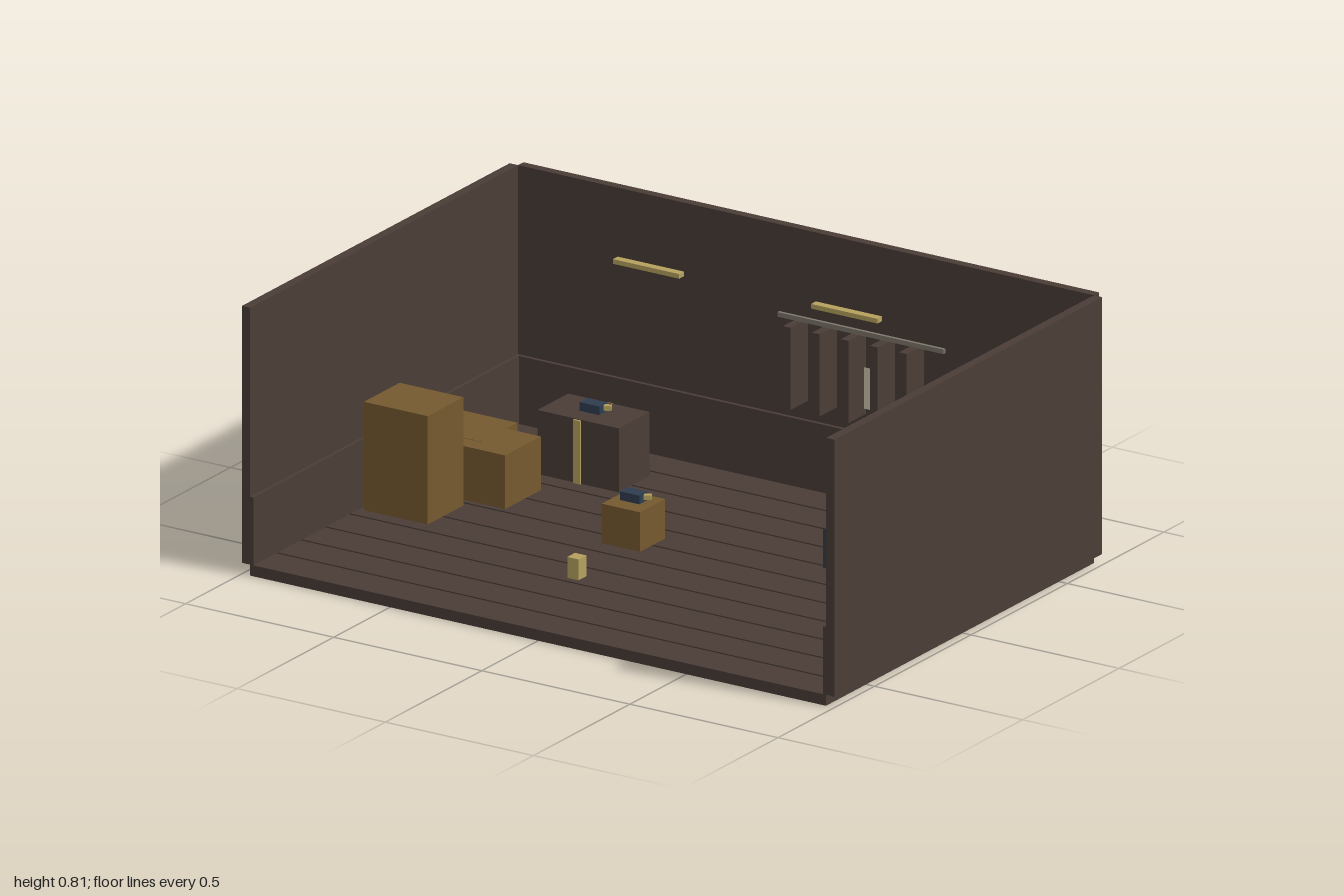
import * as THREE from 'three';

const mat = (name, color, side = THREE.FrontSide) => {
  const m = new THREE.MeshStandardMaterial({ color, side });
  m.name = name;
  return m;
};

export function createModel() {
  const room = new THREE.Group();
  room.name = 'room';
  const brown = mat('dark brown', 0x4a3d36);
  const wood = mat('crate wood', 0x75592f);
  const yellow = mat('dull yellow', 0xb5a15e);
  const navy = mat('navy', 0x2e3d50);
  const cream = mat('cream paper', 0xcdc5ac, THREE.DoubleSide);
  const grey = mat('warm grey', 0x7c766a);

  // Box from its limits on each axis
  const box = (name, m, x0, x1, y0, y1, z0, z1, parent = room) => {
    const mesh = new THREE.Mesh(new THREE.BoxGeometry(x1 - x0, y1 - y0, z1 - z0), m);
    mesh.position.set((x0 + x1) / 2, (y0 + y1) / 2, (z0 + z1) / 2);
    mesh.name = name;
    parent.add(mesh);
    return mesh;
  };
  const F = 0.033; // floor height

  // Floor slab with planks running across the room
  box('floorSlab', brown, -0.972, 0.972, 0, 0.026, -0.68, 0.708);
  const planks = 11, pitch = 1.388 / planks;
  for (let i = 0; i < planks; i++) {
    const z = -0.68 + i * pitch;
    box('floorPlank', brown, -0.972, 0.972, 0.026, F, z + (i ? 0.008 : 0), z + pitch);
  }

  // Walls and low wall panels
  box('backWall', brown, -0.972, 0.972, F, 0.808, -0.708, -0.68);
  box('backPanel', brown, -0.965, 0.965, F, 0.238, -0.68, -0.668);
  for (const s of [-1, 1]) {
    const wall = box('sideWall', brown, 0.972, 1, F, 0.808, -0.68, 0.708);
    const panel = box('sidePanel', brown, 0.961, 0.972, F, 0.238, -0.68, 0.708);
    wall.position.x *= s;
    panel.position.x *= s;
  }

  // Crates along the left-hand wall
  box('backCrate', wood, -0.945, -0.73, F, 0.196, -0.305, -0.12);
  box('middleCrate', wood, -0.83, -0.615, F, 0.195, -0.25, -0.065);
  box('tallCrate', wood, -0.945, -0.73, F, 0.36, -0.025, 0.16);

  // Small device with a tilted knob
  const device = (x, y, z) => {
    const g = new THREE.Group();
    g.name = 'device';
    box('deviceBody', navy, -0.033, 0.033, 0, 0.026, -0.021, 0.021, g);
    const knob = new THREE.Mesh(new THREE.BoxGeometry(0.022, 0.014, 0.016), yellow);
    knob.position.set(0.044, 0.017, -0.006);
    knob.rotation.y = 0.5;
    knob.name = 'deviceKnob';
    g.add(knob);
    g.position.set(x, y, z);
    room.add(g);
  };

  // Chest with a strap on its front and back
  box('chest', brown, -0.695, -0.42, F, 0.226, -0.515, -0.355);
  box('chestStrap', yellow, -0.57, -0.547, F, 0.224, -0.355, -0.348);
  box('chestStrap', yellow, -0.57, -0.547, F, 0.224, -0.522, -0.515);
  device(-0.558, 0.226, -0.436);

  // Low crate with a device
  box('lowCrate', wood, -0.235, -0.105, F, 0.152, -0.112, 0.018);
  device(-0.168, 0.157, -0.045);

  // Lantern on the floor
  box('lantern', yellow, -0.162, -0.124, F, 0.096, 0.268, 0.308);

  // Yellow box and strapped navy trunk
  box('yellowBox', yellow, 0.58, 0.805, F, 0.17, -0.6, -0.435);
  box('trunk', navy, 0.4, 0.595, F, 0.153, -0.27, -0.155);
  box('trunkStrap', yellow, 0.489, 0.507, F, 0.158, -0.274, -0.151);

  // Hanging light bars
  for (const x of [-0.227, 0.442])
    box('lightBar', yellow, x - 0.112, x + 0.112, 0.787, 0.801, -0.225, -0.2);

  // Wall rail with hanging boards
  box('rail', grey, -0.06, 0.5, 0.552, 0.566, -0.635, -0.625);
  for (let i = 0; i < 5; i++) {
    const x = -0.003 + i * 0.098;
    box('hangingBoard', brown, x - 0.013, x + 0.013, 0.297, 0.545, -0.675, -0.585);
  }

  // Paper sheets with uneven edges
  const paper = (name, w, h) => {
    const pts = [[-0.42, -0.5], [0.4, -0.5], [0.44, -0.36], [0.5, -0.3], [0.5, 0.3],
      [0.43, 0.38], [0.4, 0.5], [-0.38, 0.5], [-0.43, 0.38], [-0.5, 0.3], [-0.5, -0.3], [-0.44, -0.38]];
    const shape = new THREE.Shape(pts.map(([x, y]) => new THREE.Vector2(x * w, y * h)));
    const mesh = new THREE.Mesh(new THREE.ShapeGeometry(shape), cream);
    mesh.name = name;
    room.add(mesh);
    return mesh;
  };
  paper('backWallPaper', 0.115, 0.125).position.set(0.222, 0.379, -0.664);
  const loose = paper('loosePaper', 0.105, 0.085);
  loose.position.set(0.5, 0.203, -0.21);
  loose.rotation.x = -Math.PI / 2 + 0.05;

  // Map on the side wall
  box('wallMap', cream, 0.942, 0.95, 0.35, 0.542, -0.295, -0.03);

  return room;
}
